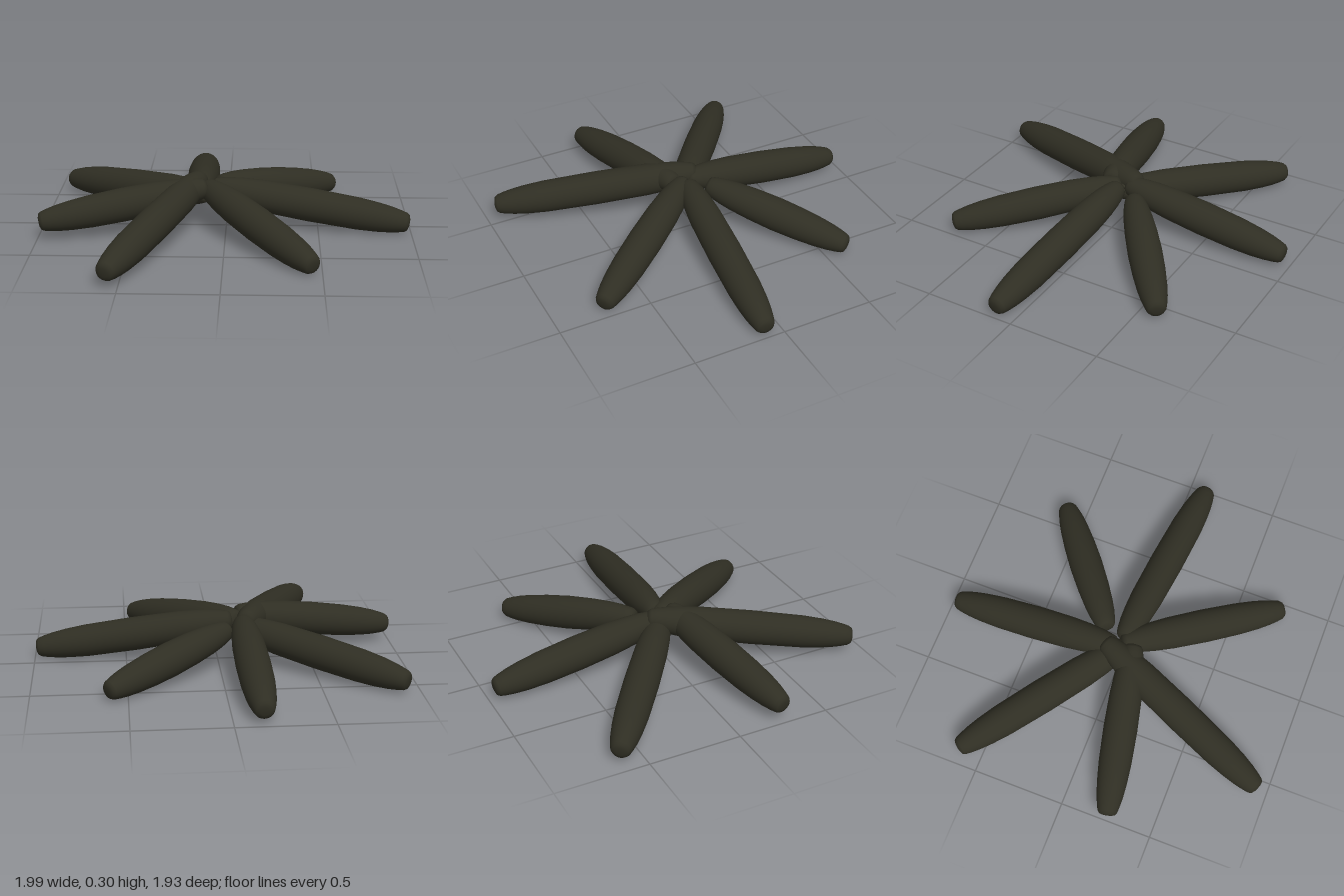
import * as THREE from 'three';

// Each arm: [inner end x, y, z], [outer tip x, y, z]
const ARMS = [
  ['backArm', [-0.135, 0.23, -0.02], [-0.15, 0.08, -0.97]],
  ['backLeftArm', [-0.05, 0.215, -0.11], [0.605, 0.07, -0.615]],
  ['leftArm', [-0.08, 0.235, 0.0], [0.99, 0.07, 0.1]],
  ['frontLeftArm', [-0.11, 0.235, 0.0], [0.455, 0.065, 0.745]],
  ['frontRightArm', [-0.14, 0.255, -0.09], [-0.565, 0.095, 0.945]],
  ['rightArm', [-0.1, 0.25, 0.065], [-0.99, 0.11, 0.255]],
  ['backRightArm', [-0.1, 0.2, 0.02], [-0.93, 0.08, -0.625]],
];

// Half profile from a blunt end to the thick middle: [radius, distance from end]
const END = [[0, 0], [0.022, 0], [0.042, 0.006], [0.052, 0.02], [0.06, 0.05], [0.07, 0.1], [0.079, 0.17], [0.087, 0.28]];

function armGeometry(length) {
  const lower = END.map(([r, d]) => new THREE.Vector2(r, d - length / 2));
  const upper = END.map(([r, d]) => new THREE.Vector2(r, length / 2 - d)).reverse();
  return new THREE.LatheGeometry([...lower, new THREE.Vector2(0.091, 0), ...upper], 28);
}

export function createModel() {
  const model = new THREE.Group();
  model.name = 'radialArms';
  const material = new THREE.MeshStandardMaterial({ color: 0x2f2e23 });
  material.name = 'dark olive';

  // Tapered rods that rise toward a shared, overlapping centre
  for (const [name, inner, outer] of ARMS) {
    const a = new THREE.Vector3(...inner);
    const b = new THREE.Vector3(...outer);
    const direction = b.clone().sub(a);
    const arm = new THREE.Mesh(armGeometry(direction.length()), material);
    arm.name = name;
    arm.position.copy(a).add(b).multiplyScalar(0.5);
    arm.quaternion.setFromUnitVectors(new THREE.Vector3(0, 1, 0), direction.normalize());
    model.add(arm);
  }
  return model;
}
